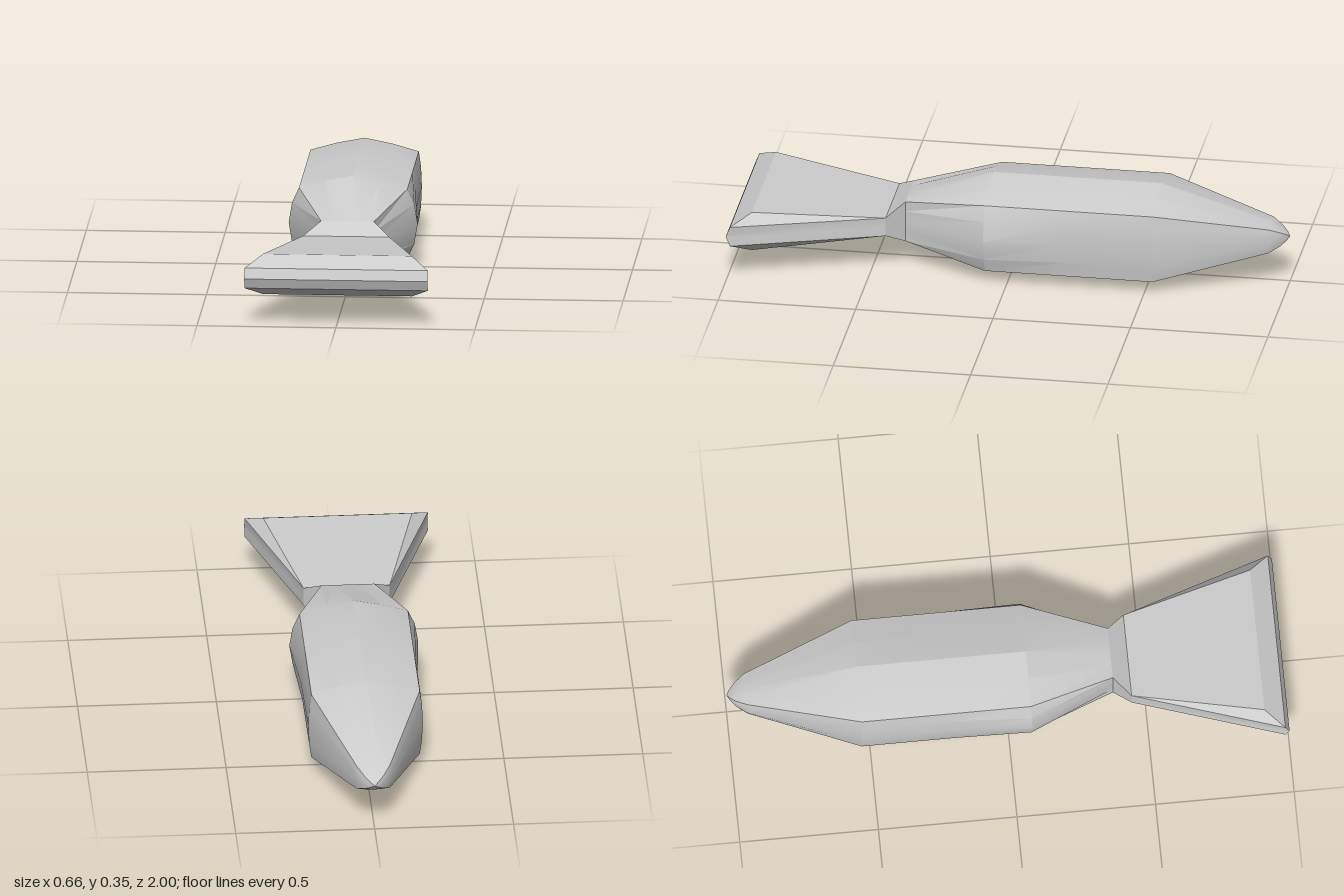
import * as THREE from 'three';
import { toCreasedNormals } from 'three/addons/utils/BufferGeometryUtils.js';

const MID = 0.172; // height of the fish's long axis

// Mirrors a quarter outline (top centre to +x side) into a full ring of points
function ring(quarter) {
  const last = quarter.length - 1;
  const pts = quarter.map(([x, y, z]) => new THREE.Vector3(x, y, z));
  const half = [...pts];
  for (let i = last - 1; i >= 0; i--) half.push(new THREE.Vector3(pts[i].x, -pts[i].y, pts[i].z));
  const full = [...half];
  for (let i = half.length - 2; i > 0; i--) full.push(new THREE.Vector3(-half[i].x, half[i].y, half[i].z));
  return full;
}

// Skins quarter outlines listed from +z to -z
function loft(name, sections, crease) {
  const rings = sections.map(ring);
  const positions = [];
  const tri = (a, b, c) => {
    if (new THREE.Triangle(a, b, c).getArea() < 1e-7) return;
    for (const p of [a, b, c]) positions.push(p.x, p.y + MID, p.z);
  };
  for (let i = 0; i < rings.length - 1; i++) {
    const n = rings[i].length;
    for (let j = 0; j < n; j++) {
      const k = (j + 1) % n;
      tri(rings[i][j], rings[i][k], rings[i + 1][j]);
      tri(rings[i][k], rings[i + 1][k], rings[i + 1][j]);
    }
  }
  const geometry = new THREE.BufferGeometry();
  geometry.setAttribute('position', new THREE.Float32BufferAttribute(positions, 3));
  const mesh = new THREE.Mesh(
    toCreasedNormals(geometry, crease),
    new THREE.MeshStandardMaterial({ color: 0xcccccc })
  );
  mesh.name = name;
  return mesh;
}

// Body outline: ridge height, shoulder, corner, upper flank and flank middle
const bodySection = (z, top, corner, upper, side) => [
  [0, top, z],
  [corner[0] * 0.51, corner[1] + (top - corner[1]) * 0.58, z],
  [...corner, z],
  [...upper, z],
  [side, 0, z],
];

// Tail outline: flat panel, bevelled rim and its middle line
const tailSection = (panelX, panelY, panelZ, rimX, rimY, rimZ, endZ = rimZ) => [
  [0, panelY, panelZ],
  [panelX, panelY, panelZ],
  [rimX, rimY, rimZ],
  [rimX, 0, endZ],
];

export function createModel() {
  const group = new THREE.Group();
  group.name = 'fish';

  group.add(loft('body', [
    bodySection(0.385, 0.077, [0.095, 0.077], [0.095, 0.04], 0.095),
    bodySection(0.08, 0.175, [0.195, 0.128], [0.22, 0.073], 0.232),
    bodySection(-0.2, 0.175, [0.195, 0.128], [0.204, 0.073], 0.21),
    bodySection(-0.53, 0.175, [0.195, 0.128], [0.203, 0.073], 0.206),
    bodySection(-0.93, 0.053, [0.06, 0.046], [0.065, 0.025], 0.066),
    bodySection(-0.97, 0.031, [0.035, 0.026], [0.038, 0.014], 0.039),
    bodySection(-0.99, 0.014, [0.015, 0.011], [0.016, 0.006], 0.017),
    bodySection(-1, 0, [0, 0], [0, 0], 0),
  ], 0.3));

  // Fan-shaped tail with a bevelled trailing edge, joined to the body by a narrow root
  group.add(loft('tail', [
    tailSection(0.33, 0, 1, 0.33, 0, 1),
    tailSection(0.33, 0.037, 0.985, 0.33, 0.037, 0.985, 1),
    tailSection(0.268, 0.074, 0.915, 0.33, 0.037, 0.985, 1),
    tailSection(0.155, 0.035, 0.447, 0.155, 0.035, 0.447),
    tailSection(0.095, 0.077, 0.385, 0.095, 0.04, 0.385),
  ], 0.2));

  return group;
}
